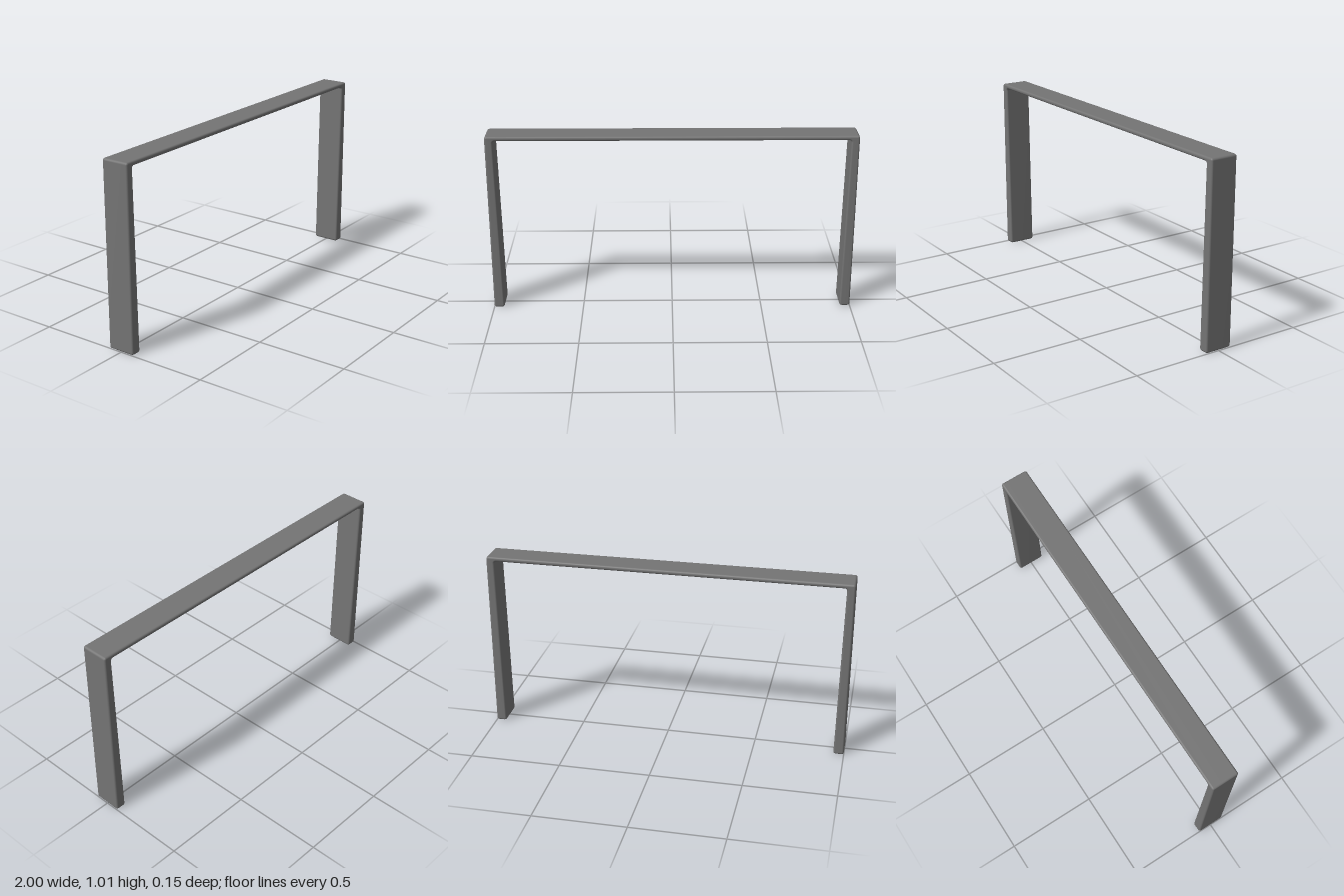
import * as THREE from 'three';

const HEIGHT = 1.007, DEPTH = 0.154, EDGE = 0.01, STEPS = 4;
const OUTER_RADIUS = 0.012, INNER_RADIUS = 0.012, FOOT_RADIUS = 0.012;
const BEAM_BOTTOM = 0.983, LEG_INNER_TOP = -0.956, LEG_INNER_FOOT = -0.943;

// Stations of the right half, from foot to top corner: outer and inner edge
// points, the outward normal and how far the section shrinks
function halfStations() {
  const stations = [];
  // Rounded foot
  for (let i = 0; i <= STEPS; i++) {
    const angle = (i / STEPS) * Math.PI / 2;
    const y = FOOT_RADIUS * (1 - Math.sin(angle));
    stations.unshift({
      outer: [-1, y], inner: [LEG_INNER_FOOT, y], normal: [-1, 0],
      inset: FOOT_RADIUS * (1 - Math.sin(Math.PI / 2 - angle)),
    });
  }
  stations.reverse().sort((a, b) => a.outer[1] - b.outer[1]);
  // Rounded turn from leg to beam
  for (let i = 0; i <= STEPS; i++) {
    const angle = Math.PI - (i / STEPS) * Math.PI / 2;
    const nx = Math.cos(angle), ny = Math.sin(angle);
    stations.push({
      outer: [-1 + OUTER_RADIUS * (1 + nx), HEIGHT - OUTER_RADIUS * (1 - ny)],
      inner: [LEG_INNER_TOP + INNER_RADIUS * (1 + nx), BEAM_BOTTOM - INNER_RADIUS * (1 - ny)],
      normal: [nx, ny],
      inset: 0,
    });
  }
  return stations;
}

function mirrored({ outer, inner, normal, inset }) {
  const flip = ([x, y]) => [-x, y];
  return { outer: flip(outer), inner: flip(inner), normal: flip(normal), inset };
}

// Rounded rectangle between the inner and outer edge of a station
function sectionRing({ outer, inner, normal, inset }) {
  const ring = [];
  for (let q = 0; q < 4; q++) {
    const onInner = q < 2;
    const base = onInner ? inner : outer;
    const side = onInner ? 1 : -1;
    const zSide = q === 0 || q === 3 ? 1 : -1;
    for (let s = 0; s <= STEPS; s++) {
      const phi = (q + s / STEPS) * Math.PI / 2;
      const shift = side * (inset + EDGE * (1 - Math.abs(Math.sin(phi))));
      const z = zSide * (DEPTH / 2 - inset - EDGE * (1 - Math.abs(Math.cos(phi))));
      ring.push([base[0] + normal[0] * shift, base[1] + normal[1] * shift, z]);
    }
  }
  return ring;
}

// Skin joining the section rings, closed at both ends
function loft(rings) {
  const count = rings[0].length, last = (rings.length - 1) * count;
  const index = [];
  for (let i = 0; i < rings.length - 1; i++) {
    for (let j = 0; j < count; j++) {
      const a = i * count + j, b = i * count + (j + 1) % count;
      index.push(a, b, b + count, a, b + count, a + count);
    }
  }
  for (let j = 1; j < count - 1; j++) {
    index.push(0, j + 1, j, last, last + j, last + j + 1);
  }
  const geometry = new THREE.BufferGeometry();
  geometry.setAttribute('position', new THREE.Float32BufferAttribute(rings.flat(2), 3));
  geometry.setIndex(index);
  geometry.computeVertexNormals();
  return geometry;
}

export function createModel() {
  const group = new THREE.Group();
  group.name = 'archFrame';

  // Thin top beam and two legs that thicken slightly toward the floor
  const half = halfStations();
  const stations = [...half, ...half.map(mirrored).reverse()];
  const frame = new THREE.Mesh(
    loft(stations.map(sectionRing)),
    new THREE.MeshStandardMaterial({ color: 0x747474 }),
  );
  frame.name = 'beamAndLegs';
  group.add(frame);
  return group;
}
